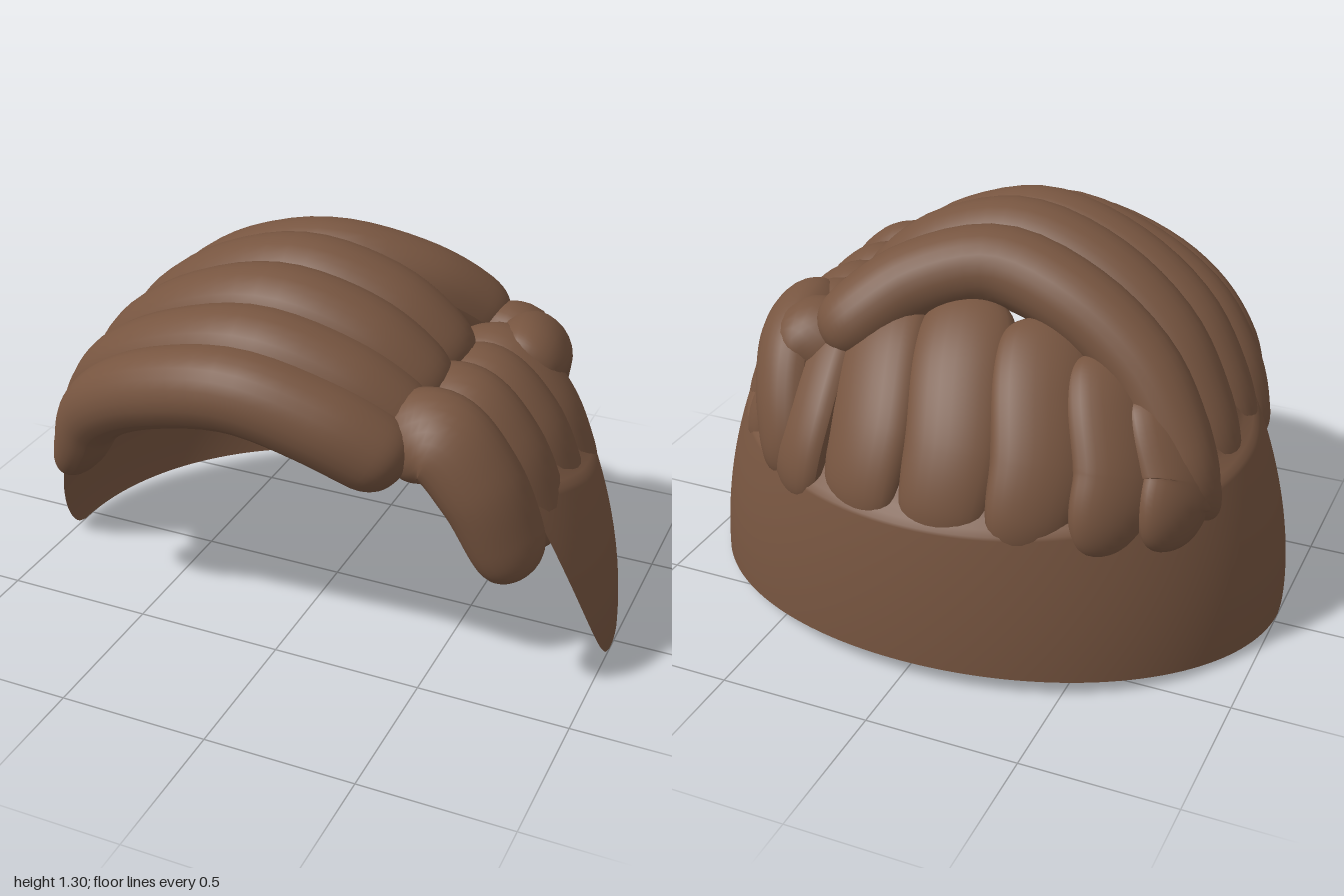
import * as THREE from 'three';

const hair = new THREE.MeshStandardMaterial({ color: 0x775540, side: THREE.DoubleSide });
hair.name = 'brown hair';

// grid of points (rows x cols) to a smooth surface
function surface(rows, cols, fn) {
  const pos = [], idx = [];
  for (let i = 0; i <= rows; i++)
    for (let j = 0; j <= cols; j++) pos.push(...fn(i / rows, j / cols));
  const w = cols + 1;
  for (let i = 0; i < rows; i++)
    for (let j = 0; j < cols; j++) {
      const a = i * w + j, b = a + 1, c = a + w, d = c + 1;
      idx.push(a, b, c, b, d, c);
    }
  const g = new THREE.BufferGeometry();
  g.setAttribute('position', new THREE.Float32BufferAttribute(pos, 3));
  g.setIndex(idx);
  g.computeVertexNormals();
  return g;
}

// rounded lock of hair: oval section swept along a curve, its flat side facing the head's middle
const heart = new THREE.Vector3(0, 0.3, 0);
function lockGeometry(points, wide, thick, endScale) {
  const curve = new THREE.CatmullRomCurve3(points.map(p => new THREE.Vector3(...p)));
  return surface(56, 24, (t, s) => {
    const u = 0.5 - 0.5 * Math.cos(Math.PI * t);
    const p = curve.getPoint(u), T = curve.getTangent(u);
    const N = p.clone().sub(heart);
    N.addScaledVector(T, -N.dot(T)).normalize();
    const B = N.clone().cross(T);
    const round = Math.sqrt(Math.max(0, 1 - Math.pow(Math.abs(2 * u - 1), 8)));
    const k = round * (1 + (endScale - 1) * u ** 3), a = s * Math.PI * 2;
    p.addScaledVector(B, wide * k * Math.cos(a)).addScaledVector(N, thick * k * Math.sin(a));
    return [p.x, p.y, p.z];
  });
}

export function createModel() {
  const group = new THREE.Group();
  const add = (name, geometry) => {
    const m = new THREE.Mesh(geometry, hair);
    m.name = name;
    group.add(m);
  };

  // open band round the sides and back, with swept front edges and a shoulder inside the locks
  add('lowerBand', surface(50, 96, (t, s) => {
    const v = Math.min(1, t / 0.85), shoulder = Math.max(0, (t - 0.85) / 0.15);
    const front = Math.asin(0.33 * Math.pow(v, 0.55) / 0.8);
    const a = front + s * (-Math.PI - 2 * front);
    const sn = Math.sin(a);
    const y0 = 0.06 * Math.pow(Math.max(0, -sn), 1.4), y1 = 0.63 + (sn < 0 ? 0.1 : 0.16) * sn;
    const y = y0 + (y1 - y0) * v;
    const inset = 0.02 * Math.min(1, shoulder * 5) + 0.12 * shoulder;
    return [(1 - 0.32 * y * y - inset) * Math.cos(a), y + 0.16 * shoulder,
      0.05 + (0.81 - 0.2 * y * y - inset) * sn];
  }));

  // thick rolls swept over the top and down inside the band:
  // tip z, left z, middle z, right z, drop, spread, half width
  [
    [-0.2, -0.26, -0.10, -0.33, 0.02, 1.0, 0.14],
    [0.0, -0.02, 0.11, 0.05, 0.0, 1.0, 0.15],
    [0.17, 0.18, 0.31, 0.25, 0.03, 1.0, 0.15],
    [0.3, 0.34, 0.48, 0.40, 0.10, 0.99, 0.145],
    [0.42, 0.48, 0.62, 0.53, 0.17, 0.92, 0.135],
  ].forEach(([zt, zl, zm, zr, drop, w, r], i) => {
    const q = (k) => zl + (zm - zl) * k;
    add('topRoll' + (i + 1), lockGeometry([
      [0.45, 0.9 - drop * 0.6, zr], [0.36, 0.99 - drop * 0.8, zm + (zr - zm) * 0.8],
      [0.2, 1.11 - drop, zm + (zr - zm) * 0.35], [-0.05, 1.175 - drop, zm],
      [-0.33, 1.1 - drop * 0.9, q(0.85)], [-0.56 * w, 0.94 - drop * 0.5, q(0.55)],
      [-0.69 * w, 0.76 - drop * 0.1, q(0.2)], [-0.76 * w, 0.62, zl], [-0.81, 0.46, zt],
    ], r, 0.13, 0.6));
  });

  // locks down the model's left side
  [[0.46, 0.15, 0], [0.25, 0.15, 0.01], [0.06, 0.145, 0.02], [-0.12, 0.14, 0.01], [-0.3, 0.14, -0.09]].forEach(([z, r, out], i) => {
    add('leftSideLock' + (i + 1), lockGeometry([
      [0.36, 0.84, z], [0.53, 0.895, z], [0.66 + out, 0.77, z],
      [0.74 + out, 0.6, z - 0.02], [0.79 + out, 0.46, z - 0.04],
    ], r, 0.11, 0.75));
  });
  add('leftBackCurl', lockGeometry([
    [0.62, 0.88, -0.05], [0.61, 0.9, -0.18], [0.59, 0.86, -0.31], [0.56, 0.74, -0.41],
    [0.53, 0.6, -0.47], [0.53, 0.46, -0.48],
  ], 0.13, 0.105, 0.8));

  // flat locks fanning down the back, their blunt tips lining the inside of the band
  [[-0.74, -0.62], [-0.58, -0.46], [-0.36, -0.25], [-0.09, 0.01], [0.2, 0.29], [0.46, 0.48]].forEach(([xb, xt], i) => {
    const depth = (x) => Math.sqrt(1 - (x / 0.92) ** 2);
    const low = (x) => 0.35 * x * x, xm = (xb + xt) / 2;
    add('backLock' + (i + 1), lockGeometry([
      [xt, 1.06 - 1.6 * low(xt), -0.16], [xm, 0.92 - low(xm), 0.04 - 0.41 * depth(xm)],
      [xb, 0.73 - low(xb) * 0.5, 0.05 - 0.59 * depth(xb)], [xb, 0.57, 0.05 - 0.67 * depth(xb)],
      [xb, 0.43, 0.05 - 0.69 * depth(xb)],
    ], 0.165, 0.08, 0.7));
  });
  return group;
}
